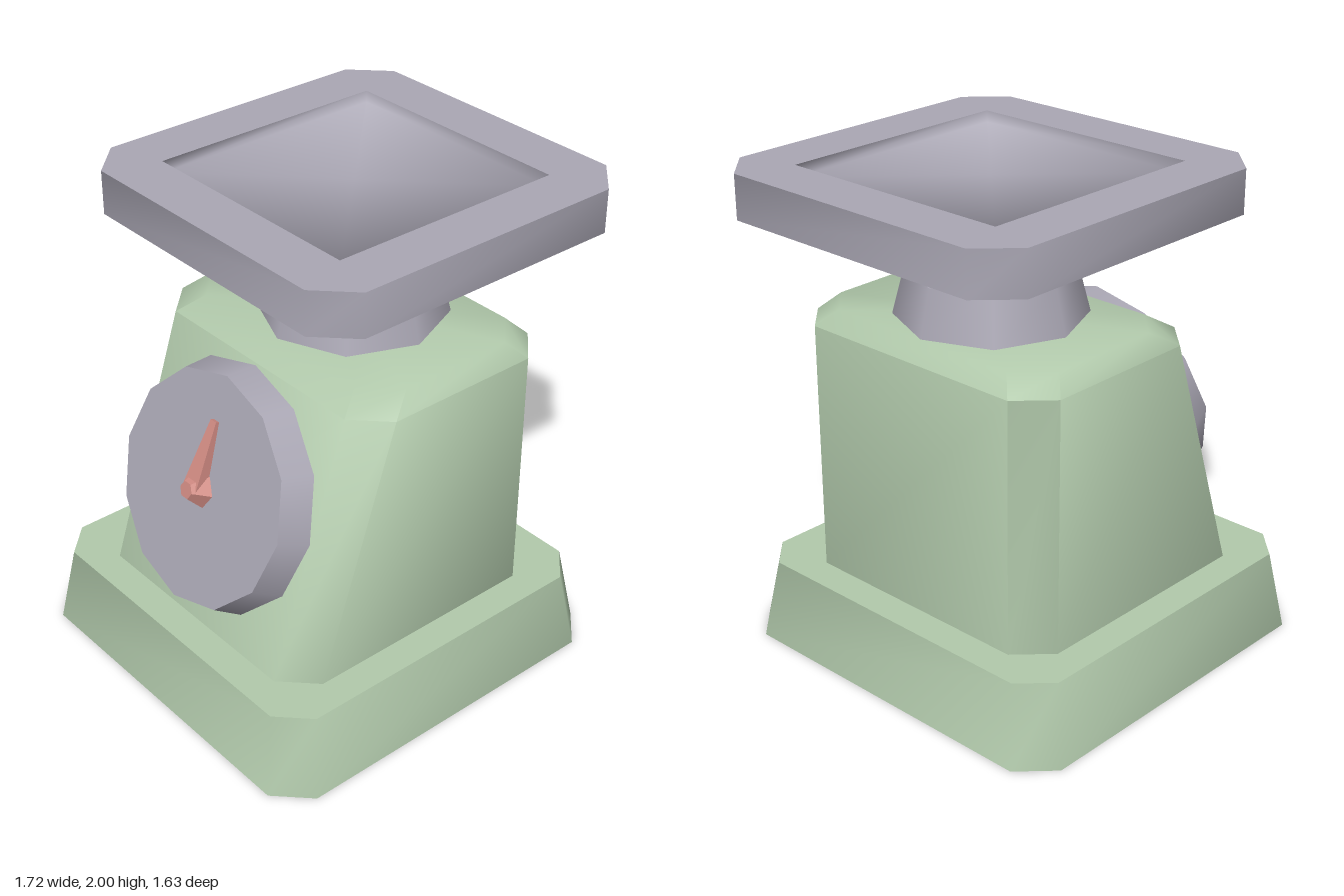
import * as THREE from 'three';
import { toCreasedNormals } from 'three/addons/utils/BufferGeometryUtils.js';

const green = new THREE.MeshStandardMaterial({ color: 0xb2caac });
green.name = 'soft green';
const grey = new THREE.MeshStandardMaterial({ color: 0xaba8b5 });
grey.name = 'lilac grey';
const red = new THREE.MeshStandardMaterial({ color: 0xd08a82 });
red.name = 'faded red';

// Rectangle with cut corners at height y, from x0 to x1 and -z to z
function ring(y, x0, x1, z, c) {
  return [
    [x1, y, -z + c], [x1, y, z - c], [x1 - c, y, z], [x0 + c, y, z],
    [x0, y, z - c], [x0, y, -z + c], [x0 + c, y, -z], [x1 - c, y, -z],
  ];
}

// Skin a stack of rings, optionally closed at either end
function loft(rings, crease, capBottom, capTop) {
  const pos = [];
  const same = (a, b) => Math.hypot(a[0] - b[0], a[1] - b[1], a[2] - b[2]) < 1e-6;
  const tri = (a, b, c) => {
    if (!same(a, b) && !same(b, c) && !same(a, c)) pos.push(...a, ...b, ...c);
  };
  const middle = (r) => [(r[0][0] + r[4][0]) / 2, r[0][1], 0];
  for (let k = 0; k < rings.length - 1; k++) {
    const lo = rings[k], hi = rings[k + 1];
    for (let i = 0; i < 8; i++) {
      const n = (i + 1) % 8;
      tri(lo[i], hi[i], lo[n]);
      tri(lo[n], hi[i], hi[n]);
    }
  }
  const first = rings[0], last = rings[rings.length - 1];
  for (let i = 0; i < 8; i++) {
    const n = (i + 1) % 8;
    if (capBottom) tri(middle(first), first[i], first[n]);
    if (capTop) tri(middle(last), last[n], last[i]);
  }
  const g = new THREE.BufferGeometry();
  g.setAttribute('position', new THREE.Float32BufferAttribute(pos, 3));
  return toCreasedNormals(g, crease);
}

function faceted(geometry) {
  const g = geometry.toNonIndexed();
  g.computeVertexNormals();
  return g;
}

function add(parent, name, geometry, material, x = 0, y = 0, z = 0) {
  const m = new THREE.Mesh(geometry, material);
  m.name = name;
  m.position.set(x, y, z);
  parent.add(m);
  return m;
}

export function createModel() {
  const model = new THREE.Group();
  model.name = 'kitchenScale';

  // Flared foot and sloped housing
  add(model, 'base', loft([
    ring(0, -0.86, 0.77, 0.815, 0.13),
    ring(0.33, -0.805, 0.715, 0.76, 0.12),
  ], 0.95, true, true), green);
  add(model, 'body', loft([
    ring(0.33, -0.675, 0.585, 0.63, 0.13),
    ring(1.355, -0.335, 0.585, 0.63, 0.13),
    ring(1.42, -0.23, 0.52, 0.565, 0.13),
  ], 0.95, false, true), green);

  // Collar and column under the tray
  const cx = 0.14;
  add(model, 'collar', new THREE.CylinderGeometry(0.325, 0.373, 0.185, 8), grey, cx, 1.5125);
  add(model, 'column', new THREE.CylinderGeometry(0.195, 0.162, 0.22, 8), grey, cx, 1.715);

  // Tray with a shallow square recess
  const opening = ring(2, cx - 0.5, cx + 0.5, 0.5, 0);
  add(model, 'tray', loft([
    ring(1.825, cx - 0.718, cx + 0.718, 0.718, 0.14),
    ring(2, cx - 0.718, cx + 0.718, 0.718, 0.14),
    opening,
  ], 0.95, true, false), grey);
  add(model, 'trayRecess', loft([
    opening,
    ring(1.955, cx - 0.495, cx + 0.495, 0.495, 0),
  ], 2, false, true), grey);

  // Dial group: local y points out of the face, local x points up the slope
  const dial = new THREE.Group();
  dial.name = 'dial';
  dial.position.set(-0.615, 0.915, 0);
  dial.rotation.z = Math.atan2(0.949, 0.316);
  model.add(dial);
  add(dial, 'dialDisc', new THREE.CylinderGeometry(0.46, 0.498, 0.132, 12), grey, 0, -0.066);
  add(dial, 'needleHub', faceted(new THREE.CylinderGeometry(0.035, 0.075, 0.068, 6)), red, 0, 0.034);

  // Needle: a bar that tapers in width and thickness towards its tip
  const bar = new THREE.BoxGeometry(0.28, 1, 1).translate(0.14, 0.5, 0);
  const p = bar.attributes.position;
  for (let i = 0; i < p.count; i++) {
    const t = p.getX(i) / 0.28;
    p.setY(i, p.getY(i) * (0.055 - 0.04 * t));
    p.setZ(i, p.getZ(i) * (0.08 - 0.048 * t));
  }
  add(dial, 'needle', faceted(bar), red);

  return model;
}
